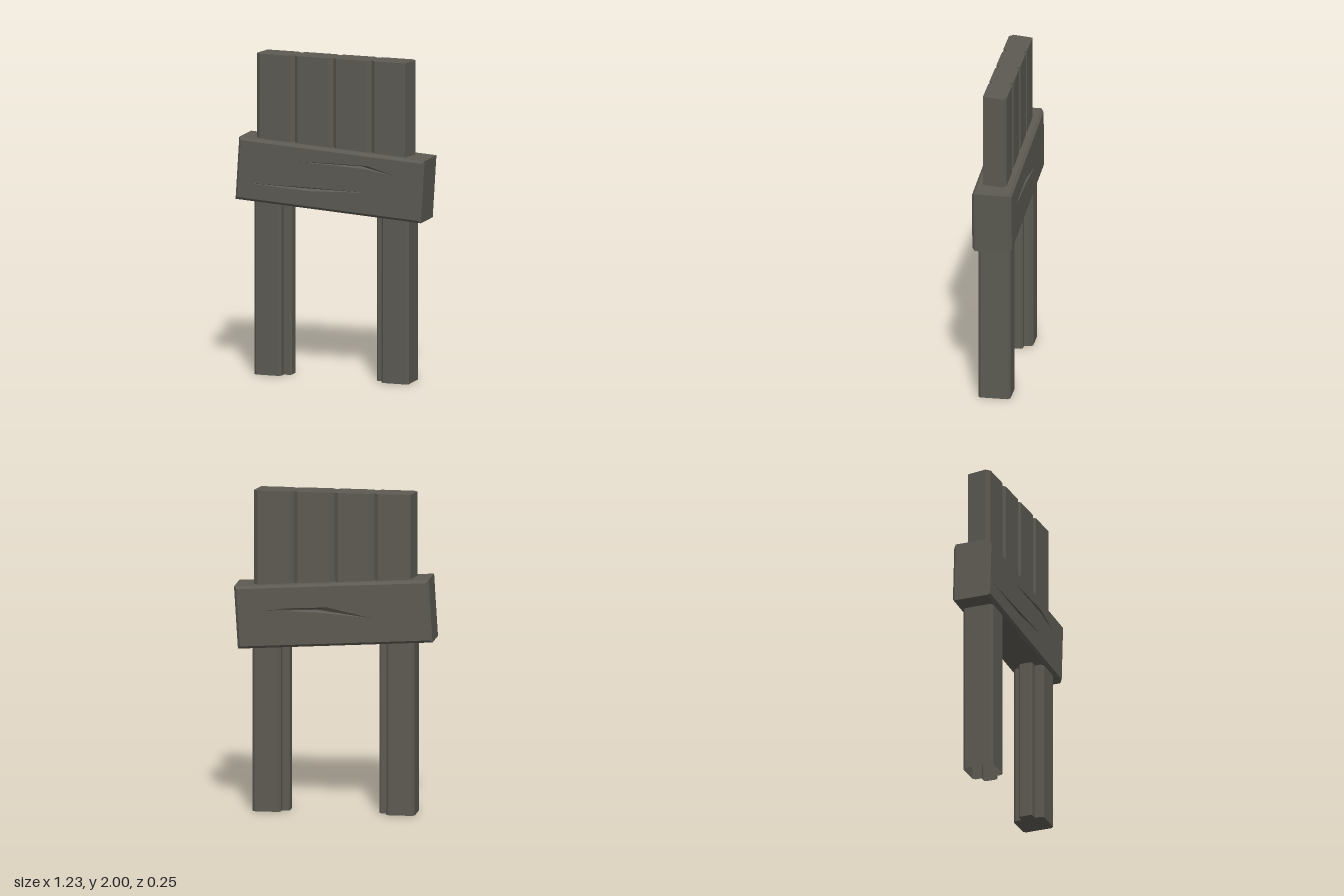
import * as THREE from 'three';

const wood = new THREE.MeshStandardMaterial({ color: 0x5c5a52, flatShading: true, side: THREE.DoubleSide });

const toShape = pts => new THREE.Shape(pts.map(p => new THREE.Vector2(p[0], p[1])));

function addMesh(parent, name, geometry) {
  const mesh = new THREE.Mesh(geometry, wood);
  mesh.name = name;
  parent.add(mesh);
  return mesh;
}

// Upright prism: outline in x/z, extruded from y0 to y1
function upright(pts, y0, y1) {
  const geo = new THREE.ExtrudeGeometry(toShape(pts), { depth: y1 - y0, bevelEnabled: false });
  return geo.rotateX(-Math.PI / 2).translate(0, y0, 0);
}

// Keep only the side walls of an extrusion
function wallsOnly(geo) {
  const { start, count } = geo.groups[1];
  const out = new THREE.BufferGeometry();
  const pos = geo.attributes.position.array.slice(start * 3, (start + count) * 3);
  out.setAttribute('position', new THREE.BufferAttribute(pos, 3));
  out.computeVertexNormals();
  return out;
}

// Rectangle with cut corners
const cutRect = (x0, x1, d, c) => [
  [x0 + c, -d], [x1 - c, -d], [x1, -d + c], [x1, d - c],
  [x1 - c, d], [x0 + c, d], [x0, d - c], [x0, -d + c],
];

// Carved crack: faces running from the rim down to one deep point
function gougeGeometry(rim, deep, z, depth) {
  const v = [];
  rim.forEach((p, i) => {
    const q = rim[(i + 1) % rim.length];
    v.push(p[0], p[1], z, q[0], q[1], z, deep[0], deep[1], z - depth);
  });
  const geo = new THREE.BufferGeometry();
  geo.setAttribute('position', new THREE.Float32BufferAttribute(v, 3));
  geo.computeVertexNormals();
  return geo;
}

export function createModel() {
  const model = new THREE.Group();
  model.name = 'woodenChairBack';

  // Legs: a chamfered post with a narrow strip on the inner side
  const sides = [['leftLeg', 1], ['rightLeg', -1]];
  for (const [name, s] of sides) {
    const leg = new THREE.Group();
    leg.name = name;
    const outline = (a, b, d, c) => cutRect(Math.min(a * s, b * s), Math.max(a * s, b * s), d, c);
    const parts = [
      ['post', outline(0.327, 0.504, 0.1, 0.016)],
      ['innerStrip', outline(0.278, 0.335, 0.045, 0.011)],
    ];
    for (const [part, pts] of parts) {
      const geo = upright(pts, 0, 1.2);
      // The right leg is open underneath
      addMesh(leg, part, s < 0 ? wallsOnly(geo) : geo);
    }
    model.add(leg);
  }

  // Back panel: four planks separated by V grooves
  const d = 0.074, c = 0.025, front = [[-0.5 + c, d]];
  for (const x of [-0.25, 0, 0.25]) front.push([x - c, d], [x, d - 0.023], [x + c, d]);
  front.push([0.5 - c, d], [0.5, d - c]);
  const back = front.map(([x, z]) => [-x, -z]);
  addMesh(model, 'plankPanel', upright([...front, ...back], 1.25, 2));

  // Cross beam: tilted, bevelled block with cracks carved in both faces
  const beam = new THREE.Group();
  beam.name = 'crossBeam';
  const w = 0.606, h = 0.195, z = 0.123, bevel = 0.016;
  const rect = (a, b) => [[-a, -b], [a, -b], [a, b], [-a, b]];
  const block = new THREE.ExtrudeGeometry(toShape(rect(w, h)), {
    depth: 2 * (z - bevel), bevelEnabled: true, bevelSegments: 1,
    bevelSize: bevel, bevelThickness: bevel, bevelOffset: -bevel,
  }).translate(0, 0, bevel - z);
  addMesh(beam, 'beamSides', wallsOnly(block));

  const frontCracks = [
    { rim: [[-0.23, 0.09], [0, 0.107], [0.24, 0.121], [0.44, 0.077], [0.22, 0.1], [0, 0.096]], deep: [0.2, 0.111] },
    { rim: [[-0.55, -0.084], [-0.14, -0.062], [0.25, -0.045], [-0.12, -0.083]], deep: [-0.12, -0.07] },
  ];
  const backCracks = [
    { rim: [[-0.42, 0.038], [-0.28, 0.052], [-0.03, 0.046], [0.25, -0.032], [-0.05, 0.012], [-0.25, 0.03]], deep: [-0.1, 0.032] },
  ];
  const faces = [['beamFront', frontCracks, 0], ['beamBack', backCracks, Math.PI]];
  for (const [name, cracks, turn] of faces) {
    const face = new THREE.Group();
    face.name = name;
    const plate = toShape(rect(w - bevel, h - bevel));
    for (const { rim, deep } of cracks) {
      plate.holes.push(toShape(rim));
      addMesh(face, 'crack', gougeGeometry(rim, deep, z, 0.02));
    }
    addMesh(face, 'facePlate', new THREE.ShapeGeometry(plate).translate(0, 0, z));
    face.rotation.y = turn;
    beam.add(face);
  }
  beam.position.set(-0.002, 1.247, -0.001);
  beam.rotation.z = -0.062;
  model.add(beam);

  return model;
}
